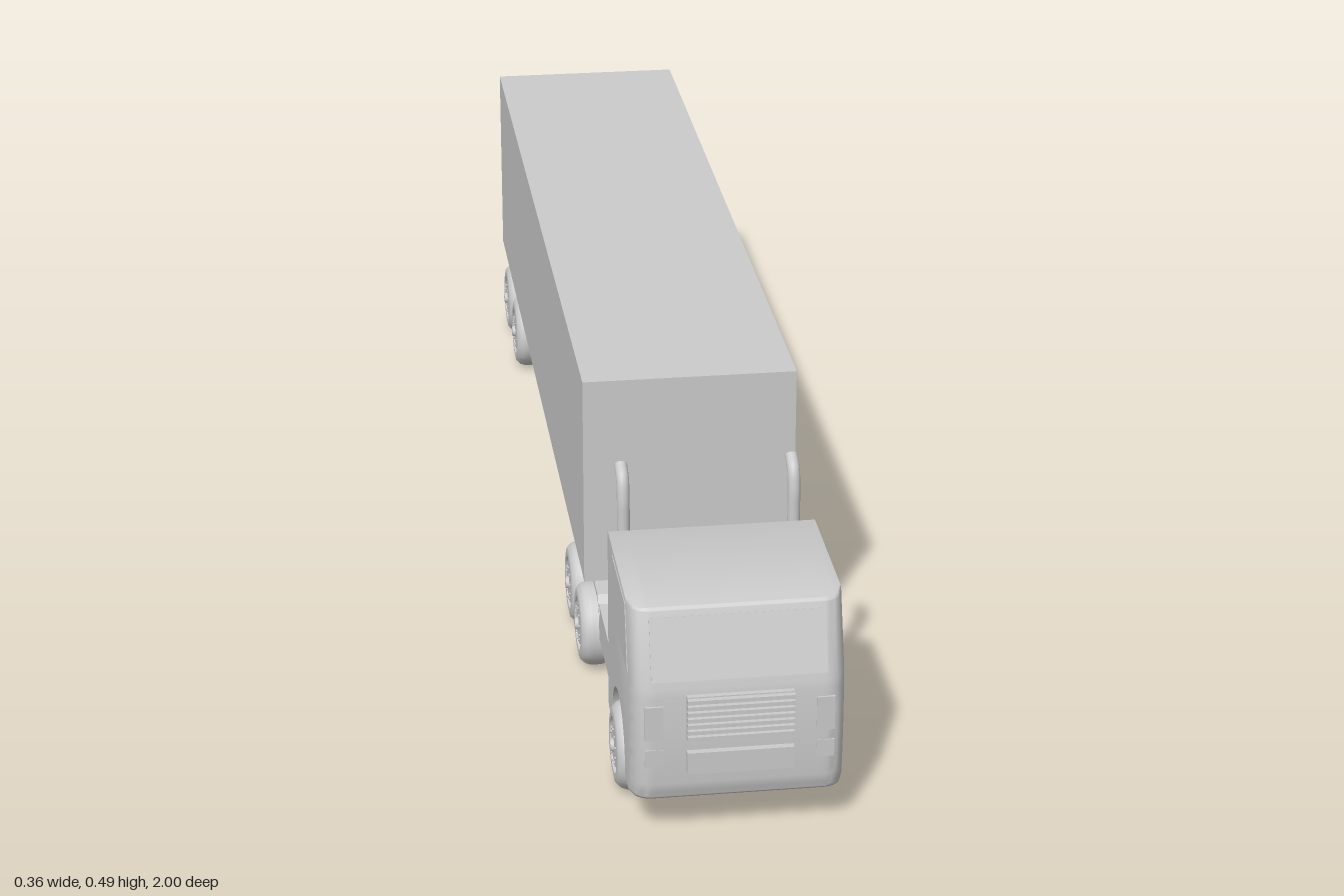
import * as THREE from 'three';
import { toCreasedNormals } from 'three/addons/utils/BufferGeometryUtils.js';

const material = new THREE.MeshStandardMaterial({ color: 0xcccccc });
const CX = -0.004; // sideways centre of the body

function add(parent, name, geometry, x = 0, y = 0, z = 0) {
  const mesh = new THREE.Mesh(geometry, material);
  mesh.name = name;
  mesh.position.set(x, y, z);
  parent.add(mesh);
  return mesh;
}

// Box given by its limits on each axis
function block(parent, name, [x0, x1], [y0, y1], [z0, z1]) {
  return add(parent, name, new THREE.BoxGeometry(x1 - x0, y1 - y0, z1 - z0),
    (x0 + x1) / 2, (y0 + y1) / 2, (z0 + z1) / 2);
}

// Extrude a side profile drawn in (z, y) along x, centred on x = 0
function extrudeX(shape, width, steps = 1) {
  const g = new THREE.ExtrudeGeometry(shape, { depth: width, steps, bevelEnabled: false, curveSegments: 12 });
  return g.translate(0, 0, -width / 2).rotateY(-Math.PI / 2);
}

// Cab shell: side profile with wheel arch, front corners rounded in plan
function cabGeometry() {
  const s = new THREE.Shape();
  s.moveTo(0.698, 0.07);
  s.lineTo(0.698, 0.35);
  s.quadraticCurveTo(0.698, 0.355, 0.705, 0.355);
  s.lineTo(0.934, 0.355);
  s.quadraticCurveTo(0.944, 0.355, 0.946, 0.347);
  s.lineTo(0.982, 0.245);
  s.quadraticCurveTo(0.99, 0.16, 0.983, 0.08);
  s.quadraticCurveTo(0.981, 0.064, 0.966, 0.064);
  s.lineTo(0.9, 0.064);
  s.lineTo(0.899, 0.08);
  s.absarc(0.823, 0.078, 0.076, 0, Math.PI, false);
  s.lineTo(0.745, 0.072);
  s.quadraticCurveTo(0.743, 0.064, 0.735, 0.064);
  s.lineTo(0.706, 0.064);
  s.quadraticCurveTo(0.698, 0.064, 0.698, 0.07);
  const half = 0.153, r = 0.03;
  const g = extrudeX(s, half * 2, 44);
  const p = g.attributes.position;
  for (let i = 0; i < p.count; i++) {
    const t = Math.min(1, Math.max(0, (Math.abs(p.getX(i)) - half + r) / r));
    const weight = THREE.MathUtils.clamp((p.getZ(i) - 0.9) / 0.04, 0, 1);
    p.setZ(i, p.getZ(i) - weight * r * (1 - Math.sqrt(1 - t * t)));
  }
  return toCreasedNormals(g, 0.6);
}

// One wheel; the outer face looks along +x
function makeWheel(width, outer) {
  const wheel = new THREE.Group();
  wheel.name = 'wheel';
  const h = width / 2;
  const profile = [
    [0, -h + 0.006], [0.042, -h + 0.006], [0.046, -h], [0.056, -h + 0.002], [0.063, -h + 0.009],
    [0.066, -h + 0.018], [0.066, h - 0.018], [0.063, h - 0.009], [0.056, h - 0.002], [0.046, h],
    [0.042, h - 0.001], [0.04, h - 0.006], [0.036, h - 0.006], [0.032, h - 0.002], [0, h - 0.001],
  ].map(([r, y]) => new THREE.Vector2(r, y));
  const tyre = toCreasedNormals(new THREE.LatheGeometry(profile, 36), 0.6).rotateZ(-Math.PI / 2);
  add(wheel, 'tyreAndRim', tyre);
  if (outer) {
    const hub = new THREE.CylinderGeometry(0.008, 0.011, 0.006, 20).rotateZ(-Math.PI / 2);
    add(wheel, 'hub', hub, h + 0.001);
    const bolt = new THREE.CylinderGeometry(0.002, 0.002, 0.003, 6).rotateZ(-Math.PI / 2);
    for (let i = 0; i < 10; i++) {
      const a = (i / 10) * Math.PI * 2;
      add(wheel, 'wheelBolt', bolt, h - 0.001, Math.cos(a) * 0.026, Math.sin(a) * 0.026);
    }
  }
  return wheel;
}

function placeWheel(parent, side, x, z, width, outer) {
  const wheel = makeWheel(width, outer);
  wheel.position.set(side * x, 0.068, z);
  if (side < 0) wheel.rotation.y = Math.PI;
  parent.add(wheel);
}

// Two dual-tyre axles under one pair of mudguards
function makeBogie(name, axles, outerX, guardPoints) {
  const bogie = new THREE.Group();
  bogie.name = name;
  const lower = guardPoints.map(([z, y]) => new THREE.Vector2(z, y));
  const upper = guardPoints.map(([z, y]) => new THREE.Vector2(z, y + 0.008)).reverse();
  const guard = extrudeX(new THREE.Shape([...lower, ...upper]), 0.068);
  for (const side of [-1, 1]) {
    for (const z of axles) {
      placeWheel(bogie, side, outerX - 0.028, z, 0.052, true);
      placeWheel(bogie, side, outerX - 0.081, z, 0.052, false);
    }
    add(bogie, 'mudguard', guard, CX + side * 0.113);
  }
  return bogie;
}

function makeCab() {
  const cab = new THREE.Group();
  cab.name = 'cab';
  add(cab, 'cabShell', cabGeometry());

  // Windows
  const windscreen = add(cab, 'windscreen', new THREE.BoxGeometry(0.25, 0.092, 0.003), 0, 0.298, 0.9635);
  windscreen.rotation.x = -Math.atan2(0.036, 0.102);
  const pane = new THREE.Shape([[0.757, 0.25], [0.935, 0.25], [0.908, 0.345], [0.757, 0.345]]
    .map(([z, y]) => new THREE.Vector2(z, y)));
  for (const side of [-1, 1]) add(cab, 'sideWindow', extrudeX(pane, 0.002), side * 0.153);

  // Grille with horizontal slats, and the panel below
  block(cab, 'grillePanel', [-0.076, 0.076], [0.167, 0.235], [0.97, 0.991]);
  for (let i = 0; i < 7; i++) {
    const y = 0.169 + i * 0.0097;
    block(cab, 'grilleSlat', [-0.076, 0.076], [y, y + 0.006], [0.985, 0.999]);
  }
  block(cab, 'frontPlate', [-0.076, 0.076], [0.114, 0.148], [0.97, 0.996]);

  // Lamps
  for (const side of [-1, 1]) {
    const xs = side > 0 ? [0.109, 0.135] : [-0.135, -0.109];
    block(cab, 'upperLamp', xs, [0.167, 0.22], [0.955, 0.987]);
    block(cab, 'lowerLamp', xs, [0.124, 0.151], [0.955, 0.987]);
  }
  cab.position.x = CX;
  return cab;
}

function makeExhaust(x) {
  const exhaust = new THREE.Group();
  exhaust.name = 'exhaustStack';
  add(exhaust, 'silencer', new THREE.CylinderGeometry(0.022, 0.022, 0.186, 24), 0, 0.229, 0);
  const path = new THREE.CatmullRomCurve3([[0.31, 0], [0.36, 0], [0.395, -0.001], [0.422, -0.009], [0.435, -0.03]]
    .map(([y, z]) => new THREE.Vector3(0, y, z)));
  add(exhaust, 'exhaustPipe', new THREE.TubeGeometry(path, 24, 0.0095, 14));
  const tip = add(exhaust, 'pipeEnd', new THREE.CircleGeometry(0.0095, 14), 0, 0.435, -0.03);
  tip.lookAt(path.getPoint(1).add(path.getTangent(1)));
  exhaust.position.set(x, 0, 0.675);
  return exhaust;
}

export function createModel() {
  const truck = new THREE.Group();
  truck.name = 'articulatedTruck';

  // Tractor
  truck.add(makeCab());
  block(truck, 'frontFloor', [-0.088, 0.08], [0.068, 0.15], [0.69, 0.96]);
  block(truck, 'chassisDeck', [-0.15, 0.143], [0.077, 0.136], [0.515, 0.705]);
  block(truck, 'rearFrame', [-0.073, 0.065], [0.077, 0.136], [0.225, 0.515]);
  add(truck, 'couplingPlate', new THREE.CylinderGeometry(0.06, 0.06, 0.022, 32), CX, 0.146, 0.38);
  for (const x of [-0.131, 0.122]) truck.add(makeExhaust(x));
  for (const side of [-1, 1]) placeWheel(truck, side, 0.137, 0.823, 0.058, true);
  truck.add(makeBogie('driveAxles', [0.446, 0.307], 0.179,
    [[0.2, 0.086], [0.215, 0.112], [0.243, 0.139], [0.503, 0.139], [0.528, 0.114]]));

  // Trailer
  block(truck, 'trailerBox', [-0.168, 0.159], [0.155, 0.492], [-0.97, 0.473]);
  truck.add(makeBogie('trailerAxles', [-0.725, -0.89], 0.172,
    [[-1, 0.086], [-0.98, 0.112], [-0.952, 0.147], [-0.66, 0.147], [-0.637, 0.112], [-0.617, 0.086]]));
  return truck;
}
